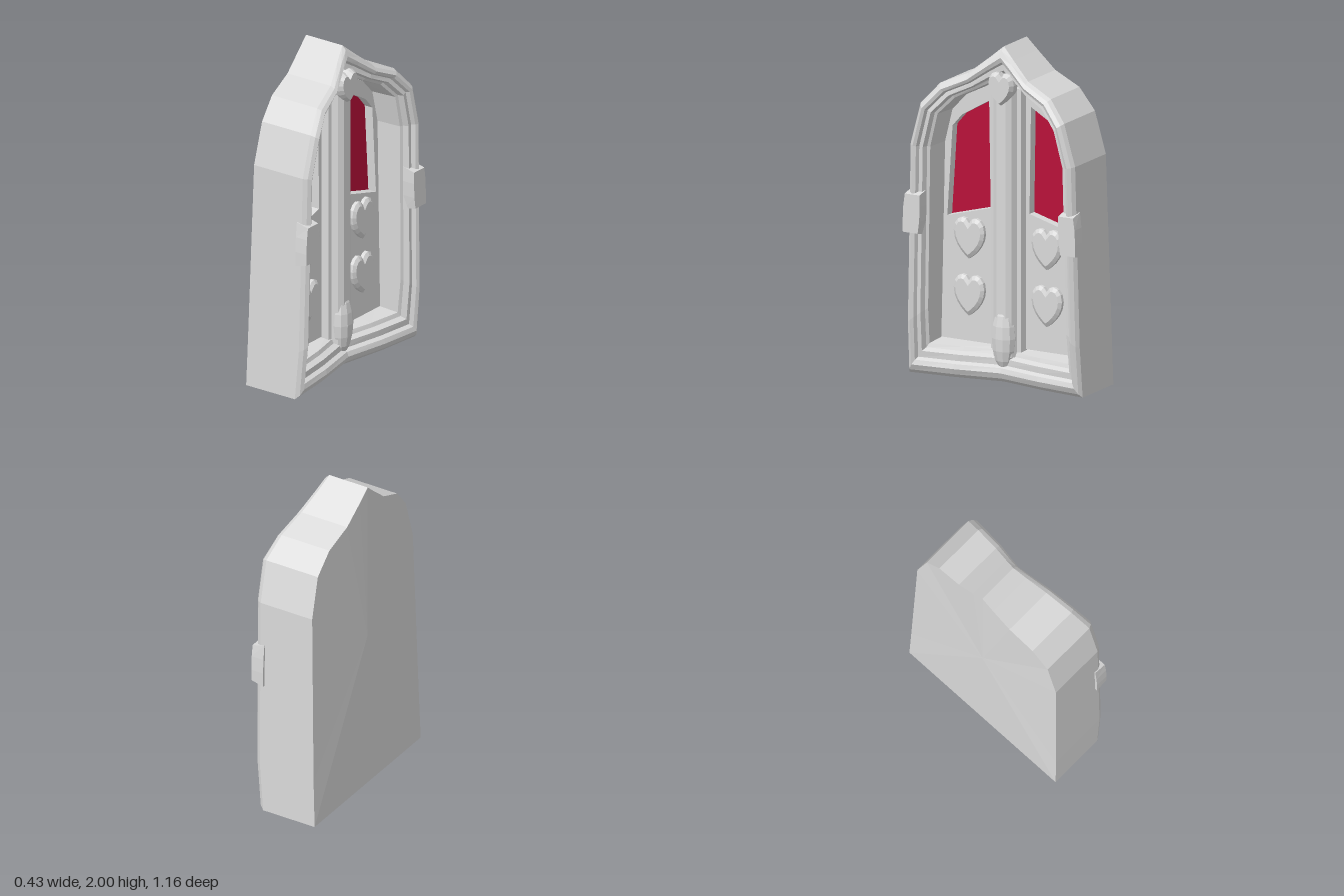
import * as THREE from 'three';

export function createModel() {
  const root = new THREE.Group();
  const body = new THREE.Group();
  body.name = 'archedWindow';
  body.rotation.y = Math.PI / 2; // built facing +z, then turned to face +x
  root.add(body);

  const stone = new THREE.MeshStandardMaterial({ color: 0xd9d9d9, flatShading: true });
  stone.name = 'pale stone';
  const red = new THREE.MeshStandardMaterial({ color: 0xb81039 });
  red.name = 'red glass';

  const add = (name, geo, mat = stone) => {
    const m = new THREE.Mesh(geo, mat);
    m.name = name;
    body.add(m);
    return m;
  };
  const toShape = pts => new THREE.Shape(pts.map(p => new THREE.Vector2(p[0], p[1])));

  // Half outline: outer u, y, front depth, back depth, then inner u, y
  const half = [
    [0, 0, 0.045, -0.22, 0, 0.19],
    [0.3, 0, 0.1, -0.22, 0.25, 0.19],
    [0.58, 0, 0.13, -0.22, 0.46, 0.19],
    [0.575, 0.3, 0.155, -0.21, 0.455, 0.4],
    [0.55, 1.38, 0.165, -0.185, 0.435, 1.36],
    [0.48, 1.63, 0.17, -0.18, 0.385, 1.56],
    [0.37, 1.755, 0.135, -0.19, 0.29, 1.66],
    [0.2, 1.83, 0.105, -0.205, 0.17, 1.72],
    [0.08, 1.93, 0.065, -0.215, 0.07, 1.775],
    [0, 2, 0.04, -0.22, 0, 1.8],
  ];
  const mirrored = half.slice(1, -1).reverse().map(s => [-s[0], s[1], s[2], s[3], -s[4], s[5]]);
  const stations = [...half, ...mirrored];

  // Rings across the frame: fraction from outer to inner edge, depth offset
  const section = [[0, 0], [0.12, 0.025], [0.3, 0.04], [0.45, 0.03], [0.52, 0.005], [0.72, 0.005], [0.8, -0.03], [0.93, -0.04]];
  const rings = [
    stations.map(s => [s[0], s[1], s[3]]),
    ...section.map(([t, d]) => stations.map(s => [
      s[0] + (s[4] - s[0]) * t, s[1] + (s[5] - s[1]) * t, s[2] + d])),
    stations.map(s => [s[4], s[5], -0.06]),
  ];
  const pos = [];
  const n = stations.length;
  for (let r = 0; r + 1 < rings.length; r++) {
    for (let i = 0; i < n; i++) {
      const j = (i + 1) % n, a = rings[r], b = rings[r + 1];
      pos.push(...a[i], ...a[j], ...b[j], ...a[i], ...b[j], ...b[i]);
    }
  }
  for (let i = 0; i < n; i++) { // back cap
    pos.push(0, 1, -0.22, ...rings[0][(i + 1) % n], ...rings[0][i]);
  }
  const frame = new THREE.BufferGeometry();
  frame.setAttribute('position', new THREE.Float32BufferAttribute(pos, 3));
  frame.computeVertexNormals();
  add('frame', frame);

  // Recessed panel with two window openings
  const pane = [[0.42, 0.92], [0.385, 1.46], [0.32, 1.535], [0.14, 1.64], [0.13, 1.0]];
  const panelShape = toShape(stations.map(s => [s[4], s[5]]));
  for (const side of [1, -1]) {
    const pts = pane.map(([u, y]) => [u * side, y]);
    panelShape.holes.push(toShape(pts));
    add(side > 0 ? 'rightGlass' : 'leftGlass', new THREE.ShapeGeometry(toShape(pts)), red).position.z = -0.085;
  }
  add('panel', new THREE.ExtrudeGeometry(panelShape, { depth: 0.06, bevelEnabled: false })).position.z = -0.09;

  // Central mullion, a moulded profile run upward
  const side = [[0.11, -0.04], [0.1, 0.015], [0.075, 0.02], [0.06, 0.055], [0.03, 0.075]];
  const profile = [...side, ...side.slice().reverse().map(([u, d]) => [-u, d])];
  const mullion = new THREE.ExtrudeGeometry(toShape(profile.map(([u, d]) => [u, -d])), { depth: 1.6, bevelEnabled: false });
  mullion.rotateX(-Math.PI / 2);
  add('mullion', mullion).position.y = 0.15;

  // Swollen foot of the mullion
  const foot = add('mullionFoot', new THREE.SphereGeometry(1, 10, 8));
  foot.scale.set(0.075, 0.19, 0.06);
  foot.position.set(0, 0.26, 0.04);

  // Raised hearts
  const heart = (name, u, y, z, w, h, depth) => {
    const s = new THREE.Shape();
    s.moveTo(0, -0.5);
    s.bezierCurveTo(0.2, -0.4, 0.5, -0.15, 0.5, 0.15);
    s.bezierCurveTo(0.5, 0.5, 0.12, 0.6, 0, 0.36);
    s.bezierCurveTo(-0.12, 0.6, -0.5, 0.5, -0.5, 0.15);
    s.bezierCurveTo(-0.5, -0.15, -0.2, -0.4, 0, -0.5);
    const g = new THREE.ExtrudeGeometry(s, {
      depth: 0.6, curveSegments: 5, bevelEnabled: true, bevelSegments: 1,
      bevelSize: 0.09, bevelOffset: -0.09, bevelThickness: 0.4,
    });
    g.translate(0, 0, 0.4);
    g.scale(w, h, depth / 1.4);
    add(name, g).position.set(u, y, z);
  };
  for (const u of [-0.26, 0.26]) {
    heart('upperHeart', u, 0.81, -0.04, 0.205, 0.245, 0.05);
    heart('lowerHeart', u, 0.47, -0.04, 0.205, 0.245, 0.05);
  }
  heart('keystoneHeart', 0, 1.75, 0, 0.17, 0.2, 0.1);

  // Clasps on the sides of the frame, narrower at the foot
  for (const s of [-1, 1]) {
    const g = new THREE.BoxGeometry(0.11, 0.27, 0.08, 1, 3, 1);
    const p = g.attributes.position;
    for (let i = 0; i < p.count; i++) {
      const y = p.getY(i);
      if (Math.abs(y) > 0.1) {
        p.setY(i, Math.sign(y) * (p.getZ(i) > 0 ? 0.115 : 0.135));
        p.setX(i, p.getX(i) * 0.9);
      }
      p.setX(i, p.getX(i) - s * y * 0.05);
    }
    g.computeVertexNormals();
    add('clasp', g).position.set(s * 0.52, 0.97, 0.172);
  }
  return root;
}
